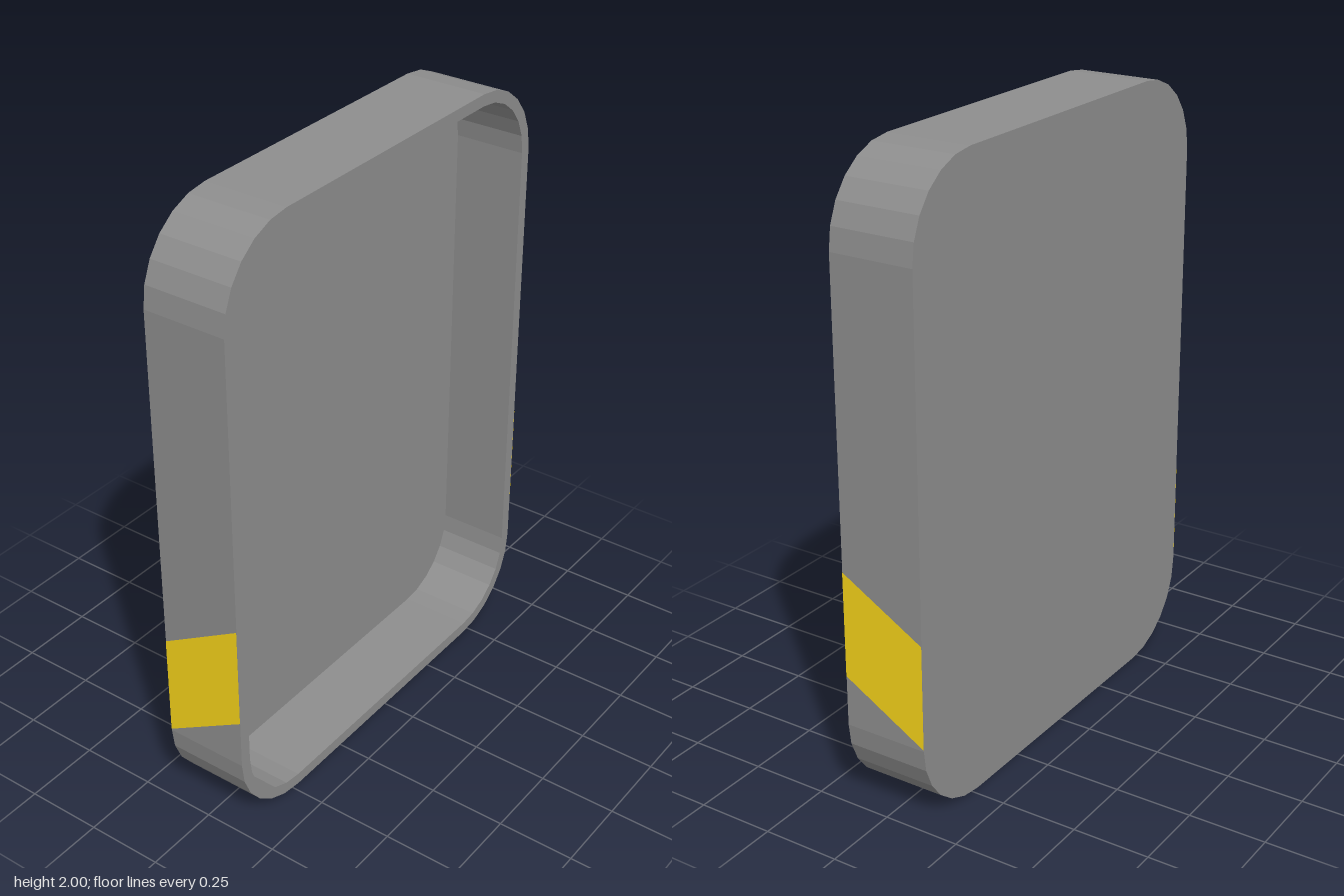
import * as THREE from 'three';

const W = 0.743, D = 0.275, R = 0.27, WALL = 0.038;

// Rounded rectangle outline, inset from the outer edge
function outline(inset, Type) {
  const p = new Type(), r = R - inset, cx = W - R, lo = R, hi = 2 - R, q = Math.PI / 2;
  p.moveTo(cx + r, lo);
  p.absarc(cx, hi, r, 0, q);
  p.absarc(-cx, hi, r, q, 2 * q);
  p.absarc(-cx, lo, r, 2 * q, 3 * q);
  p.absarc(cx, lo, r, 3 * q, 4 * q);
  return p;
}

export function createModel() {
  const group = new THREE.Group();
  group.name = 'tray';
  const grey = new THREE.MeshStandardMaterial({ color: 0x8d8d8d, flatShading: true });
  const yellow = new THREE.MeshStandardMaterial({ color: 0xf5d31a, side: THREE.DoubleSide });

  const add = (name, geometry, material) => {
    const mesh = new THREE.Mesh(geometry, material);
    mesh.name = name;
    group.add(mesh);
    return mesh;
  };
  // Arcs are divided twice as finely as curveSegments: six facets per corner
  const extrude = (shape, depth) =>
    new THREE.ExtrudeGeometry(shape, { depth, bevelEnabled: false, curveSegments: 3 });

  // Solid back and the open rim in front of it
  add('backPanel', extrude(outline(0, THREE.Shape), WALL), grey).position.z = -D / 2;
  const rim = outline(0, THREE.Shape);
  rim.holes.push(outline(WALL, THREE.Path));
  add('rim', extrude(rim, D - WALL), grey).position.z = -D / 2 + WALL;

  // Slanted stripe on each side wall, higher at the front
  for (const side of [1, -1]) {
    const corners = [[-1, 0.435], [1, 0.275], [1, 0.615], [-1, 0.775]];
    const stripe = new THREE.Shape(corners.map(([u, y]) => new THREE.Vector2(side * u * D / 2, y)));
    const mesh = add(side > 0 ? 'leftStripe' : 'rightStripe', new THREE.ShapeGeometry(stripe), yellow);
    mesh.rotation.y = side * Math.PI / 2;
    mesh.position.x = side * (W + 0.001);
  }
  return group;
}
